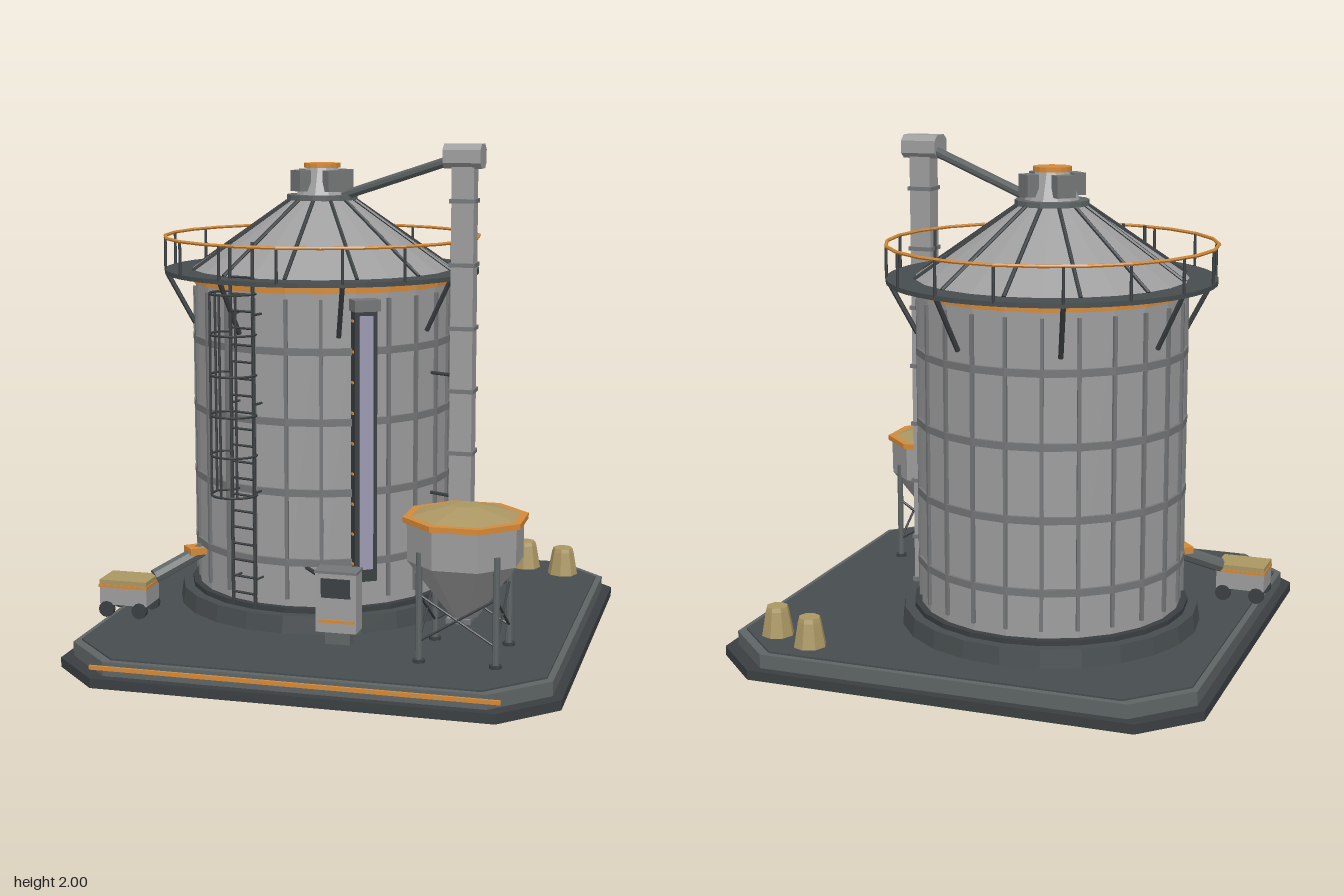
import * as THREE from 'three';

const mat = (name, color) => Object.assign(new THREE.MeshStandardMaterial({ color, flatShading: true }), { name });
const M = {
  steel: mat('galvanised steel', 0x9d9d9e),
  band: mat('band grey', 0x747677),
  trim: mat('slab grey', 0x5e6465),
  deck: mat('deck grey', 0x474d4f),
  dark: mat('dark frame', 0x3a3f41),
  orange: mat('safety orange', 0xd48a38),
  grain: mat('grain tan', 0xab9763),
  glass: mat('gauge lavender', 0x9c9ab2),
};
const V = (x, y, z) => new THREE.Vector3(x, y, z);

function add(parent, name, geo, m, x = 0, y = 0, z = 0, ry = 0) {
  const mesh = new THREE.Mesh(geo, m);
  mesh.name = name;
  mesh.position.set(x, y, z);
  mesh.rotation.y = ry;
  parent.add(mesh);
  return mesh;
}
const group = (parent, name, x = 0, y = 0, z = 0, ry = 0) => {
  const g = new THREE.Group();
  g.name = name;
  g.position.set(x, y, z);
  g.rotation.y = ry;
  parent.add(g);
  return g;
};
const box = (p, n, m, w, h, d, x, y, z, ry) => add(p, n, new THREE.BoxGeometry(w, h, d), m, x, y, z, ry);
// Cylinder or frustum between two heights
const cyl = (p, n, m, r0, r1, y0, y1, seg, x = 0, z = 0, ry = 0) =>
  add(p, n, new THREE.CylinderGeometry(r1, r0, y1 - y0, seg), m, x, (y0 + y1) / 2, z, ry);
// Round bar between two points
function bar(p, n, m, a, b, r, seg = 6) {
  const d = b.clone().sub(a);
  const mesh = add(p, n, new THREE.CylinderGeometry(r, r, d.length(), seg), m);
  mesh.position.copy(a).addScaledVector(d, 0.5);
  mesh.quaternion.setFromUnitVectors(V(0, 1, 0), d.normalize());
  return mesh;
}
const polar = (a, r, y) => V(Math.sin(a) * r, y, Math.cos(a) * r);

// Square slab with cut corners
function slab(p, name, m, h, y0, y1) {
  const c = h - 0.205, s = new THREE.Shape();
  [[h, c], [c, h], [-c, h], [-h, c], [-h, -c], [-c, -h], [c, -h], [h, -c]]
    .forEach(([x, y], i) => (i ? s.lineTo(x, y) : s.moveTo(x, y)));
  const geo = new THREE.ExtrudeGeometry(s, { depth: y1 - y0, bevelEnabled: false }).rotateX(-Math.PI / 2);
  add(p, name, geo, m, 0, y0, 0);
}

function buildBase(root) {
  const g = group(root, 'base');
  slab(g, 'lowerSlab', M.dark, 0.972, 0, 0.038);
  slab(g, 'upperSlab', M.trim, 0.935, 0.038, 0.093);
  slab(g, 'deck', M.deck, 0.91, 0.093, 0.1);
  box(g, 'frontStripe', M.orange, 1.56, 0.016, 0.01, 0, 0.07, 0.94);
}

function buildSilo(root) {
  const g = group(root, 'silo', -0.175, 0, -0.15);
  cyl(g, 'plinth', M.deck, 0.6, 0.59, 0.1, 0.17, 24);
  cyl(g, 'plinthRing', M.dark, 0.55, 0.55, 0.17, 0.19, 24);
  cyl(g, 'wall', M.steel, 0.522, 0.522, 0.19, 1.47, 24);
  for (const y of [0.37, 0.65, 0.93, 1.207]) cyl(g, 'wallBand', M.band, 0.535, 0.535, y - 0.014, y + 0.014, 24);
  for (let i = 0; i < 24; i++) {
    const a = i * Math.PI / 12, p = polar(a, 0.523, 0.815);
    box(g, 'wallRib', M.band, 0.014, 1.19, 0.02, p.x, p.y, p.z, a);
  }
  cyl(g, 'eaveRing', M.orange, 0.532, 0.532, 1.432, 1.465, 24);

  // Roof, ribs and top vent
  cyl(g, 'roof', M.steel, 0.545, 0.12, 1.478, 1.77, 24);
  for (let i = 0; i < 12; i++) {
    const a = i * Math.PI / 6;
    bar(g, 'roofRib', M.dark, polar(a, 0.54, 1.486), polar(a, 0.125, 1.772), 0.008);
  }
  cyl(g, 'ventCollar', M.trim, 0.145, 0.145, 1.764, 1.785, 16);
  cyl(g, 'ventNeck', M.steel, 0.108, 0.065, 1.785, 1.895, 12);
  cyl(g, 'ventCap', M.orange, 0.075, 0.075, 1.893, 1.912, 16);
  for (let i = 0; i < 4; i++) {
    const a = Math.PI / 4 + i * Math.PI / 2, p = polar(a, 0.1, 1.842);
    box(g, 'ventHood', M.band, 0.08, 0.085, 0.05, p.x, p.y, p.z, a);
  }

  // Walkway, railing and brackets
  const ring = new THREE.Shape().absarc(0, 0, 0.645, 0, Math.PI * 2);
  ring.holes.push(new THREE.Path().absarc(0, 0, 0.515, 0, Math.PI * 2));
  const walk = new THREE.ExtrudeGeometry(ring, { depth: 0.018, bevelEnabled: false, curveSegments: 24 });
  add(g, 'walkway', walk.rotateX(-Math.PI / 2), M.deck, 0, 1.468, 0);
  const rail = new THREE.TorusGeometry(0.645, 0.007, 6, 24).rotateX(Math.PI / 2);
  add(g, 'handrail', rail, M.orange, 0, 1.617, 0);
  for (let i = 0; i < 16; i++) {
    const a = i * Math.PI / 8;
    bar(g, 'railPost', M.dark, polar(a, 0.642, 1.48), polar(a, 0.642, 1.615), 0.006);
  }
  for (let i = 0; i < 8; i++) {
    const a = Math.PI / 8 + i * Math.PI / 4;
    bar(g, 'walkwayBracket', M.dark, polar(a, 0.525, 1.265), polar(a, 0.635, 1.47), 0.01);
  }

  // Caged ladder
  const l = group(g, 'ladder', 0, 0, 0, -0.3);
  for (const s of [-1, 1]) {
    bar(l, 'ladderRail', M.dark, V(s * 0.053, 0.19, 0.575), V(s * 0.053, 1.63, 0.575), 0.007);
    for (const y of [0.3, 0.65, 1.0, 1.35]) bar(l, 'ladderBracket', M.dark, V(s * 0.053, y, 0.52), V(s * 0.053, y, 0.575), 0.005);
  }
  for (let y = 0.24; y < 1.5; y += 0.066) bar(l, 'rung', M.dark, V(-0.053, y, 0.575), V(0.053, y, 0.575), 0.005);
  const hoop = new THREE.CatmullRomCurve3([V(-0.053, 0, 0.575), V(-0.09, 0, 0.61), V(-0.085, 0, 0.665),
    V(-0.045, 0, 0.71), V(0, 0, 0.722), V(0.045, 0, 0.71), V(0.085, 0, 0.665), V(0.09, 0, 0.61), V(0.053, 0, 0.575)]);
  const hoopGeo = new THREE.TubeGeometry(hoop, 20, 0.005, 5);
  for (let i = 0; i < 6; i++) add(l, 'cageHoop', hoopGeo, M.dark, 0, 0.652 + i * 0.157, 0);
  for (const [x, z] of [[-0.09, 0.625], [-0.06, 0.7], [0, 0.722], [0.06, 0.7], [0.09, 0.625]])
    bar(l, 'cageBar', M.dark, V(x, 0.65, z), V(x, 1.44, z), 0.005);

  // Level gauge
  const q = group(g, 'levelGauge', 0, 0, 0, 0.573);
  box(q, 'gaugeFrame', M.dark, 0.09, 1.08, 0.05, 0, 0.84, 0.545);
  box(q, 'gaugeGlass', M.glass, 0.055, 1.0, 0.008, 0, 0.85, 0.572);
  box(q, 'gaugeCap', M.band, 0.105, 0.045, 0.08, 0, 1.39, 0.55);
  for (let i = 0; i < 9; i++) box(q, 'gaugeMark', M.orange, 0.102, 0.009, 0.02, 0, 0.37 + i * 0.12, 0.545);
}

function buildElevator(root) {
  const g = group(root, 'grainElevator', 0.468, 0, 0.103);
  box(g, 'leg', M.steel, 0.088, 1.83, 0.086, 0, 1.015, 0);
  box(g, 'boot', M.band, 0.1, 0.02, 0.1, 0, 0.11, 0);
  for (let y = 0.3; y < 1.85; y += 0.247) box(g, 'legBand', M.band, 0.102, 0.016, 0.1, 0, y, 0);
  // Head with cut corners, running along x
  const head = new THREE.Shape(), a = 0.064, b = 0.047, c = 0.035;
  [[a, c - 0.01], [c, b], [-c, b], [-a, c - 0.01], [-a, 0.01 - c], [-c, -b], [c, -b], [a, 0.01 - c]]
    .forEach(([x, y], i) => (i ? head.lineTo(x, y) : head.moveTo(x, y)));
  const geo = new THREE.ExtrudeGeometry(head, { depth: 0.148, bevelEnabled: false }).translate(0, 0, -0.074).rotateY(Math.PI / 2);
  add(g, 'head', geo, M.steel, -0.002, 1.953, 0);
  bar(root, 'dischargePipe', M.trim, V(0.42, 1.94, 0.085), V(-0.1, 1.775, -0.13), 0.02, 8);
  bar(root, 'feedPipe', M.trim, V(0.468, 0.39, 0.13), V(0.49, 0.475, 0.36), 0.02, 8);
  for (const y of [0.6, 1.09]) bar(root, 'legBrace', M.dark, V(0.31, y, 0), V(0.45, y, 0.07), 0.007);
}

function buildHopper(root) {
  const g = group(root, 'hopper', 0.565, 0, 0.51), k = 1 / Math.cos(Math.PI / 8), t = Math.PI / 8;
  cyl(g, 'bin', M.steel, 0.205 * k, 0.207 * k, 0.47, 0.62, 8, 0, 0, t);
  cyl(g, 'cone', M.steel, 0.05 * k, 0.205 * k, 0.25, 0.47, 8, 0, 0, t);
  cyl(g, 'rim', M.orange, 0.222 * k, 0.222 * k, 0.617, 0.638, 8, 0, 0, t);
  cyl(g, 'grainShoulder', M.grain, 0.2 * k, 0.14 * k, 0.636, 0.655, 8, 0, 0, t);
  cyl(g, 'grainPeak', M.grain, 0.14 * k, 0.05 * k, 0.655, 0.677, 8, 0, 0, t);
  const c = [[1, 1], [1, -1], [-1, -1], [-1, 1]].map(([x, z]) => [x * 0.145, z * 0.145]);
  c.forEach(([x, z], i) => {
    const [u, w] = c[(i + 1) % 4];
    bar(g, 'hopperLeg', M.trim, V(x, 0.1, z), V(x, 0.52, z), 0.013, 8);
    cyl(g, 'foot', M.dark, 0.024, 0.024, 0.1, 0.112, 8, x, z);
    bar(g, 'crossBrace', M.dark, V(x, 0.18, z), V(u, 0.36, w), 0.005);
    bar(g, 'crossBrace', M.dark, V(x, 0.36, z), V(u, 0.18, w), 0.005);
  });
}

function buildControlBox(root) {
  const g = group(root, 'controlBox', 0.073, 0, 0.515);
  box(g, 'cabinet', M.steel, 0.162, 0.235, 0.085, 0, 0.272, 0);
  box(g, 'cabinetTop', M.band, 0.168, 0.01, 0.095, 0, 0.392, 0);
  box(g, 'screen', M.dark, 0.115, 0.075, 0.008, 0, 0.33, 0.044);
  box(g, 'panelStripe', M.orange, 0.14, 0.012, 0.008, 0, 0.2, 0.044);
  box(g, 'pedestal', M.trim, 0.1, 0.06, 0.05, 0, 0.13, -0.01);
  bar(root, 'conduit', M.dark, V(-0.1, 0.35, 0.36), V(0.01, 0.35, 0.5), 0.008);
}

function buildCart(root) {
  const g = group(root, 'grainCart', -0.858, 0, 0.336);
  box(g, 'cartBody', M.steel, 0.2, 0.075, 0.14, 0, 0.188, 0);
  box(g, 'cartRim', M.orange, 0.206, 0.012, 0.15, 0, 0.228, 0);
  box(g, 'cartGrain', M.grain, 0.2, 0.02, 0.145, 0, 0.243, 0);
  for (const x of [-0.07, 0.07]) for (const z of [-0.07, 0.07]) {
    const geo = new THREE.CylinderGeometry(0.032, 0.032, 0.022, 12).rotateX(Math.PI / 2);
    add(g, 'wheel', geo, M.dark, x, 0.133, z);
  }
  // Unloading spout from the silo wall
  const top = V(-0.59, 0.345, 0.125), end = V(-0.77, 0.245, 0.28);
  bar(root, 'spout', M.trim, top, end, 0.03, 8);
  box(root, 'spoutCollar', M.orange, 0.08, 0.028, 0.08, -0.63, 0.337, 0.16, 0.7);
}

function buildSacks(root) {
  for (const [x, z] of [[0.586, -0.795], [0.762, -0.722]]) {
    const g = group(root, 'sack', x, 0, z);
    cyl(g, 'sackBody', M.grain, 0.065, 0.047, 0.1, 0.2, 8);
    cyl(g, 'sackTop', M.grain, 0.047, 0.042, 0.2, 0.216, 8);
  }
}

export function createModel() {
  const root = new THREE.Group();
  root.name = 'grainSilo';
  [buildBase, buildSilo, buildElevator, buildHopper, buildControlBox, buildCart, buildSacks].forEach((f) => f(root));
  return root;
}
